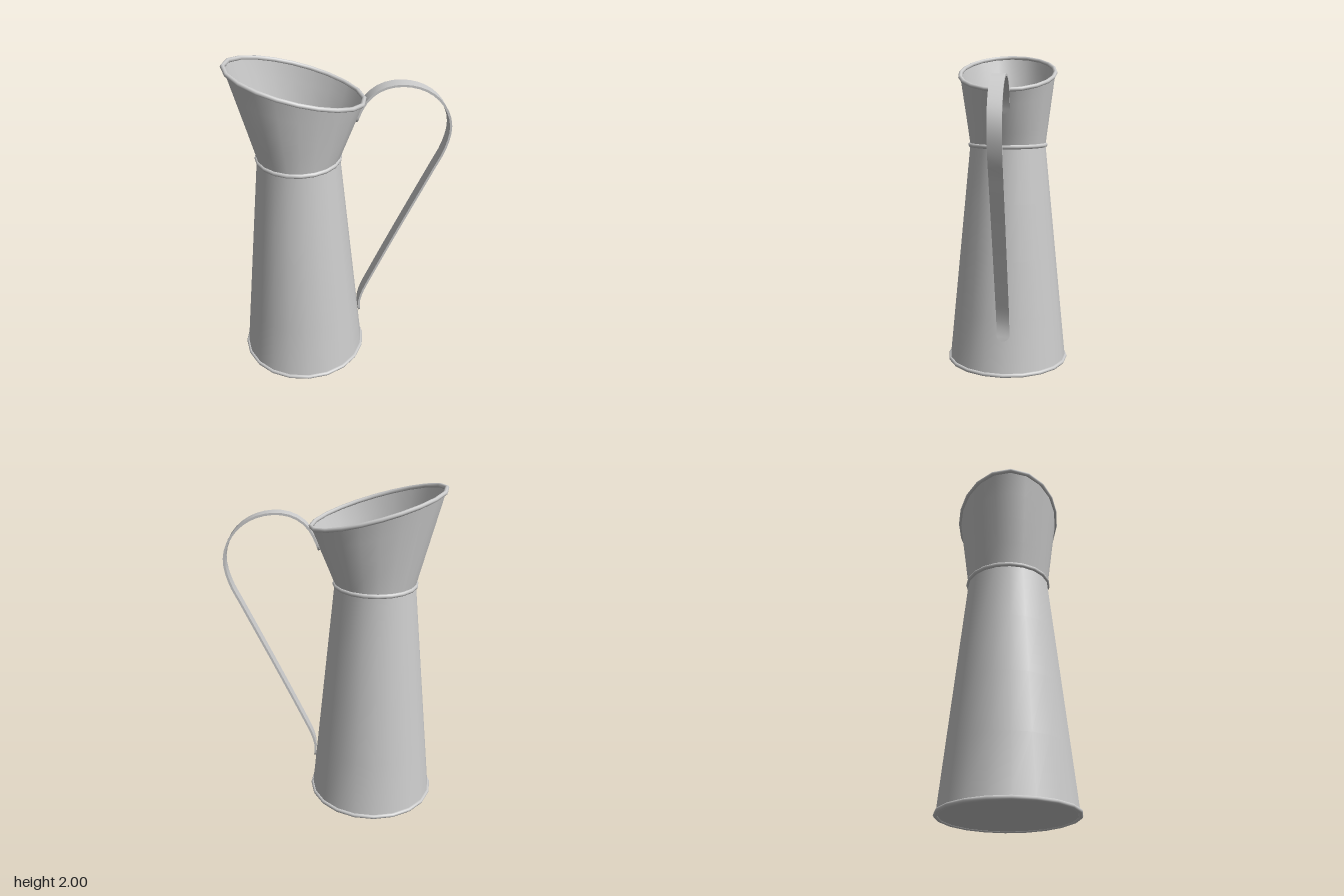
import * as THREE from 'three';
import { mergeVertices, toCreasedNormals } from 'three/addons/utils/BufferGeometryUtils.js';

const SIDES = 20;
const AXIS_X = -0.245;
const metal = new THREE.MeshStandardMaterial({ color: 0xcccccc, side: THREE.DoubleSide });

function add(group, name, geometry) {
  const mesh = new THREE.Mesh(geometry, metal);
  mesh.name = name;
  group.add(mesh);
  return mesh;
}

// Point on an elliptical hoop; tilt lowers the +x side and raises the -x side
function hoopPoint({ cx = AXIS_X, y, rx, rz = rx, tilt = 0 }, angle) {
  const s = Math.sin(angle), c = Math.cos(angle);
  return new THREE.Vector3(cx + rx * s, y - tilt * s, rz * c);
}

// Rolled wire bead following a hoop
function beadGeometry(hoop, radius) {
  const points = [];
  for (let i = 0; i < SIDES; i++) points.push(hoopPoint(hoop, (i / SIDES) * Math.PI * 2));
  const curve = new THREE.CatmullRomCurve3(points, true);
  return new THREE.TubeGeometry(curve, SIDES, radius, 8, true);
}

// Open sheet-metal wall between two hoops, with a seamless smooth normal
function wallGeometry(lower, upper) {
  let geo = new THREE.CylinderGeometry(1, 1, 1, SIDES, 4, true);
  const pos = geo.attributes.position;
  for (let i = 0; i < pos.count; i++) {
    const angle = Math.atan2(pos.getX(i), pos.getZ(i));
    const p = hoopPoint(lower, angle).lerp(hoopPoint(upper, angle), pos.getY(i) + 0.5);
    pos.setXYZ(i, p.x, p.y, p.z);
  }
  geo.deleteAttribute('uv');
  geo.deleteAttribute('normal');
  geo = mergeVertices(geo, 1e-4);
  geo.computeVertexNormals();
  return geo;
}

// Flat strap swept along a curve in the xy plane, with rounded ends
function strapGeometry(curve, halfWidth, thickness) {
  const length = curve.getLength();
  const stops = [0, 0.003, 0.01, 0.02, 0.03];
  const ends = stops.map((d) => length - d).reverse();
  for (let i = 1; i < 48; i++) stops.push((i / 48) * length);
  stops.push(...ends);

  const vertices = [], faces = [];
  stops.forEach((d, i) => {
    const u = d / length;
    const p = curve.getPointAt(u), t = curve.getTangentAt(u);
    const nx = -t.y * thickness / 2, ny = t.x * thickness / 2;
    const k = Math.max(0, 1 - Math.min(d, length - d) / 0.035);
    const w = halfWidth * Math.max(0.25, Math.sqrt(1 - k * k));
    for (const [side, z] of [[1, w], [1, -w], [-1, -w], [-1, w]]) {
      vertices.push(p.x + side * nx, p.y + side * ny, z);
    }
    if (i === 0) return;
    const a = (i - 1) * 4, b = i * 4;
    for (let j = 0; j < 4; j++) {
      const n = (j + 1) % 4;
      faces.push(a + j, b + j, b + n, a + j, b + n, a + n);
    }
  });
  const e = (stops.length - 1) * 4;
  faces.push(0, 1, 2, 0, 2, 3, e, e + 2, e + 1, e, e + 3, e + 2);

  const geo = new THREE.BufferGeometry();
  geo.setAttribute('position', new THREE.Float32BufferAttribute(vertices, 3));
  geo.setIndex(faces);
  return toCreasedNormals(geo, 0.7);
}

export function createModel() {
  const jug = new THREE.Group();
  jug.name = 'pitcher';

  const base = { y: 0.013, rx: 0.385 };
  const neck = { y: 1.425, rx: 0.242 };
  const rim = { cx: -0.25, y: 1.877, rx: 0.385, rz: 0.3, tilt: 0.11 };

  // Tapered body and slanted flaring mouth
  add(jug, 'body', wallGeometry(base, neck));
  add(jug, 'spout', wallGeometry(neck, rim));

  // Closed bottom
  const bottom = add(jug, 'bottom', new THREE.CircleGeometry(0.385, SIDES));
  bottom.rotation.x = Math.PI / 2;
  bottom.position.set(AXIS_X, 0.008, 0);

  // Rolled beads at foot, neck and lip
  add(jug, 'footBead', beadGeometry(base, 0.013));
  add(jug, 'neckBead', beadGeometry(neck, 0.014));
  add(jug, 'rimBead', beadGeometry(rim, 0.013));

  // Strap handle from the mouth down to the lower body
  const path = [
    [0.085, 1.63], [0.11, 1.70], [0.155, 1.775], [0.23, 1.83], [0.34, 1.85],
    [0.47, 1.82], [0.57, 1.745], [0.628, 1.64], [0.638, 1.55], [0.61, 1.43],
    [0.555, 1.31], [0.35, 0.87], [0.2, 0.54], [0.14, 0.4], [0.121, 0.32], [0.125, 0.235],
  ].map(([x, y]) => new THREE.Vector3(x, y, 0));
  add(jug, 'handle', strapGeometry(new THREE.CatmullRomCurve3(path), 0.04, 0.013));

  return jug;
}
